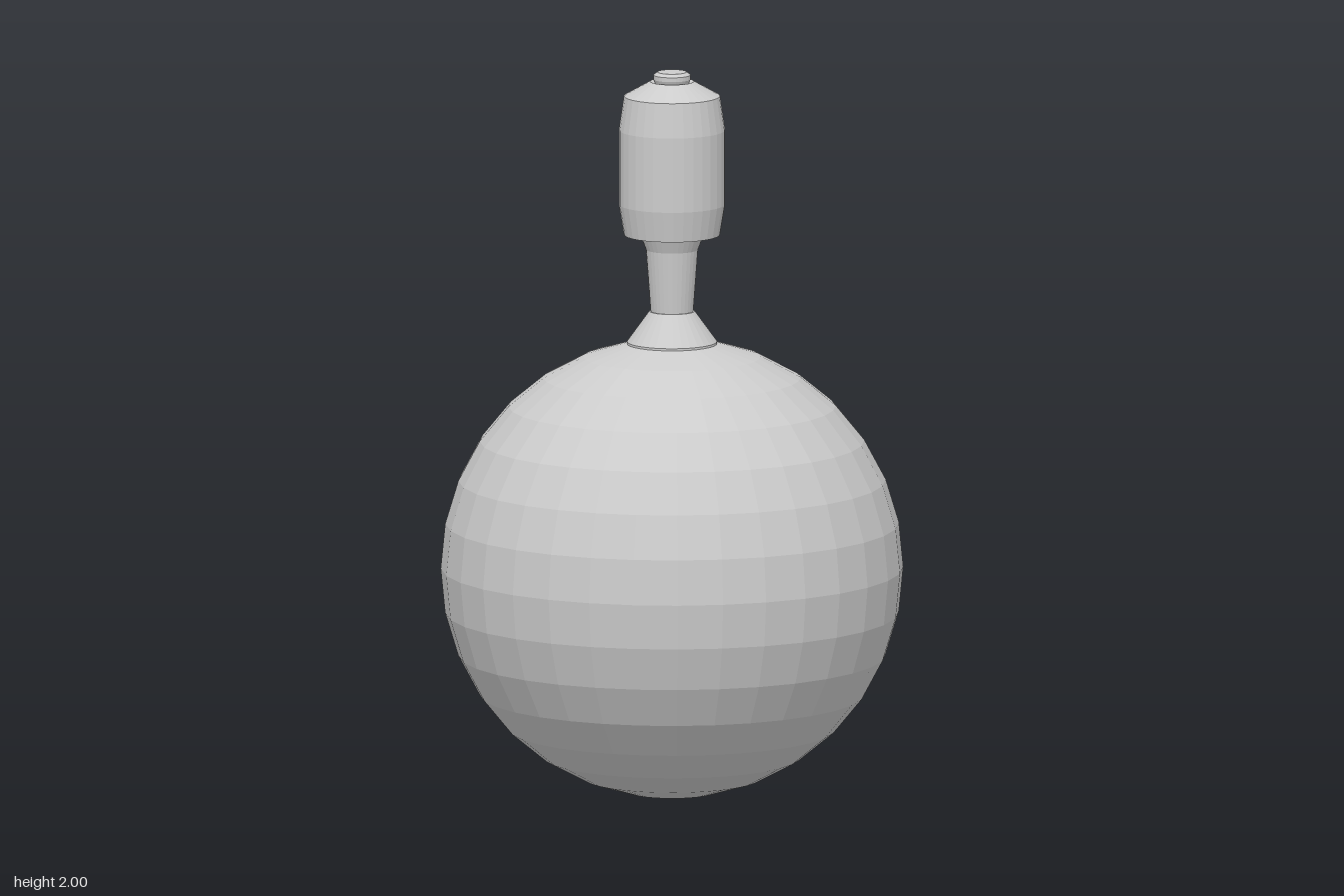
import * as THREE from 'three';

const SEGMENTS = 32;

export function createModel() {
  const model = new THREE.Group();
  const material = new THREE.MeshStandardMaterial({ color: 0xcccccc, flatShading: true });

  const add = (name, geometry) => {
    const mesh = new THREE.Mesh(geometry, material);
    mesh.name = name;
    model.add(mesh);
    return mesh;
  };

  // Turned part from [radius, height] pairs, listed bottom to top
  const turned = (name, profile) =>
    add(name, new THREE.LatheGeometry(profile.map(([r, y]) => new THREE.Vector2(r, y)), SEGMENTS));

  // Faceted round body
  add('body', new THREE.SphereGeometry(0.63, SEGMENTS, 16)).position.y = 0.632;

  // Conical collar where the stem meets the body
  turned('collar', [[0.123, 1.25], [0.123, 1.256], [0.062, 1.34], [0, 1.34]]);

  // Slim stem, flaring out under the handle
  turned('stem', [[0.058, 1.335], [0.071, 1.51], [0.087, 1.552]]);

  // Barrel-shaped handle with a sloping shoulder and a small recess on top
  turned('handle', [
    [0, 1.551], [0.131, 1.551], [0.145, 1.635], [0.145, 1.84],
    [0.131, 1.934], [0.06, 1.974], [0.045, 1.968], [0, 1.968],
  ]);

  // Chamfered button on the handle
  turned('button', [[0.045, 1.966], [0.051, 1.98], [0.051, 1.992], [0.04, 2], [0, 2]]);

  return model;
}
